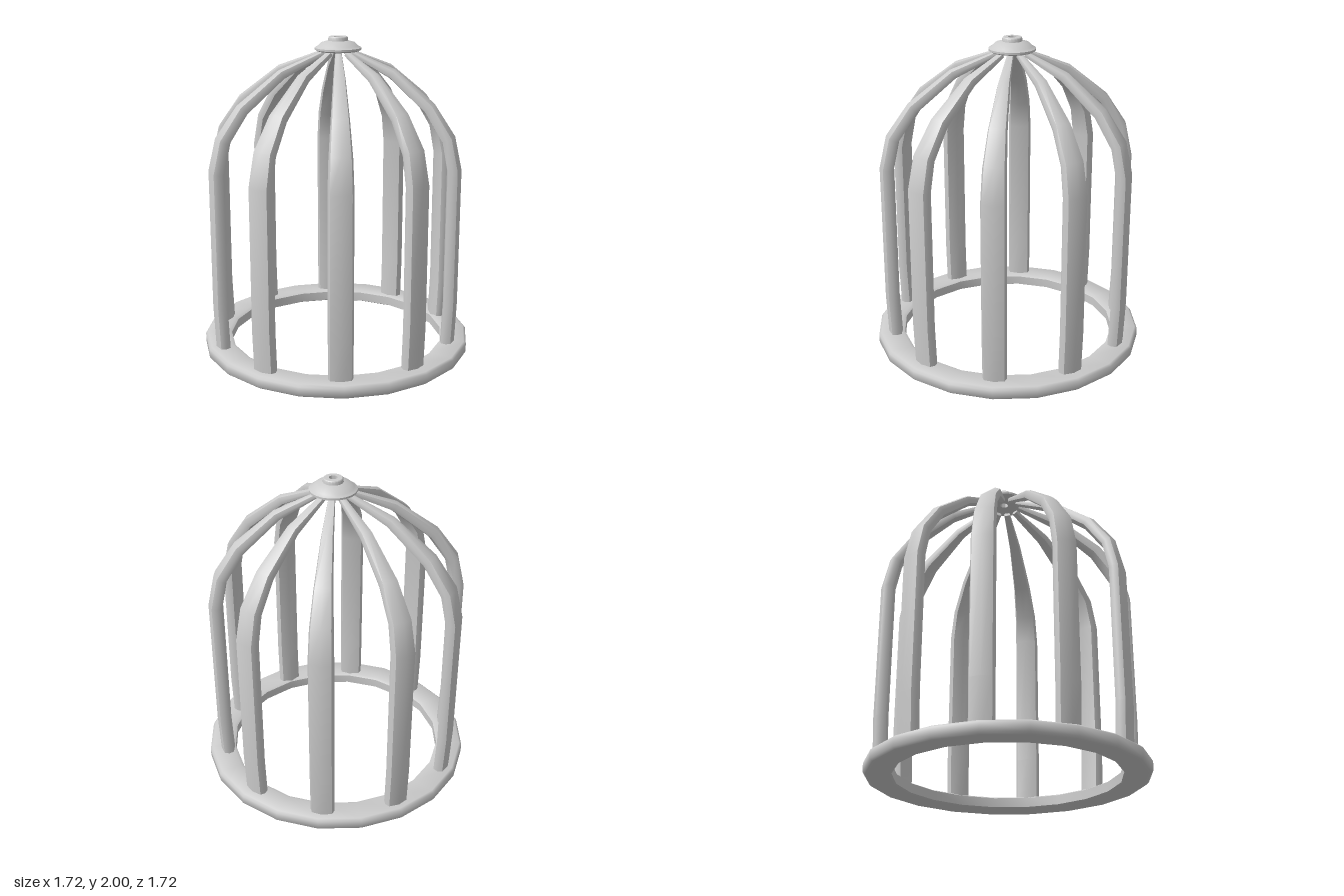
import * as THREE from 'three';
import { toCreasedNormals } from 'three/addons/utils/BufferGeometryUtils.js';

const material = new THREE.MeshStandardMaterial({ color: 0xcccccc });
const HUB = { x: 0.012, z: -0.025 };   // the cap sits slightly off centre
const BASE = { x: -0.016, z: -0.006 }; // so does the circle of bars

// Stations along a bar: distance from the axis, height, half width, half depth
const STATIONS = [
  [0.752, 0.03, 0.075, 0.045],
  [0.765, 0.34, 0.076, 0.045],
  [0.765, 1.21, 0.076, 0.045],
  [0.723, 1.40, 0.070, 0.044],
  [0.598, 1.585, 0.056, 0.041],
  [0.355, 1.785, 0.037, 0.033],
  [0.095, 1.90, 0.021, 0.017],
];

// Flattened eight-sided bar section, in units of half width and half depth
const SECTION = [[1, 0], [0.84, 0.68], [0, 1], [-0.84, 0.68], [-1, 0], [-0.84, -0.68], [0, -1], [0.84, -0.68]];

function barGeometry(angle) {
  const s = Math.sin(angle), c = Math.cos(angle);
  const n = SECTION.length, last = STATIONS.length - 1;
  const pos = [], idx = [];
  const add = (r, y, u, k) => pos.push(
    r * s + u * c + THREE.MathUtils.lerp(HUB.x, BASE.x, k),
    y,
    r * c - u * s + THREE.MathUtils.lerp(HUB.z, BASE.z, k));

  STATIONS.forEach(([r, y, w, d], j) => {
    const a = STATIONS[Math.max(j - 1, 0)], b = STATIONS[Math.min(j + 1, last)];
    const len = Math.hypot(b[0] - a[0], b[1] - a[1]);
    const nr = (b[1] - a[1]) / len, ny = -(b[0] - a[0]) / len;
    const k = Math.min(r / 0.765, 1);
    for (const [u, v] of SECTION) add(r + nr * v * d, y + ny * v * d, u * w, k);
    if (j === last) return;
    for (let i = 0; i < n; i++) {
      const p = j * n + i, q = j * n + (i + 1) % n;
      idx.push(p, p + n, q, q, p + n, q + n);
    }
  });

  // end caps
  for (let i = 1; i < n - 1; i++) {
    idx.push(0, i, i + 1);
    idx.push(last * n, last * n + i + 1, last * n + i);
  }
  const g = new THREE.BufferGeometry();
  g.setAttribute('position', new THREE.Float32BufferAttribute(pos, 3));
  g.setIndex(idx);
  return toCreasedNormals(g, 0.9);
}

function lathe(name, profile, segments, crease) {
  const pts = profile.map(([r, y]) => new THREE.Vector2(r, y));
  const g = toCreasedNormals(new THREE.LatheGeometry(pts, segments), crease);
  const mesh = new THREE.Mesh(g, material);
  mesh.name = name;
  return mesh;
}

export function createModel() {
  const group = new THREE.Group();
  group.name = 'birdcage';

  // Base ring with bevelled rims
  group.add(lathe('baseRing', [
    [0.69, 0.01], [0.71, 0], [0.845, 0], [0.86, 0.013], [0.86, 0.067],
    [0.845, 0.08], [0.71, 0.08], [0.69, 0.07], [0.69, 0.01],
  ], 20, 0.9));

  // Ten bars bending in towards the top
  const bars = new THREE.Group();
  bars.name = 'bars';
  for (let i = 0; i < 10; i++) {
    const bar = new THREE.Mesh(barGeometry(i * Math.PI / 5), material);
    bar.name = `bar${i + 1}`;
    bars.add(bar);
  }
  group.add(bars);

  // Pierced cap joining the bars
  const cap = lathe('topCap', [
    [0.026, 1.915], [0.13, 1.912], [0.145, 1.92], [0.145, 1.932], [0.125, 1.943],
    [0.105, 1.963], [0.062, 1.975], [0.06, 1.995], [0.055, 2], [0.026, 2], [0.026, 1.915],
  ], 20, 0.7);
  cap.position.set(HUB.x, 0, HUB.z);
  group.add(cap);

  return group;
}
